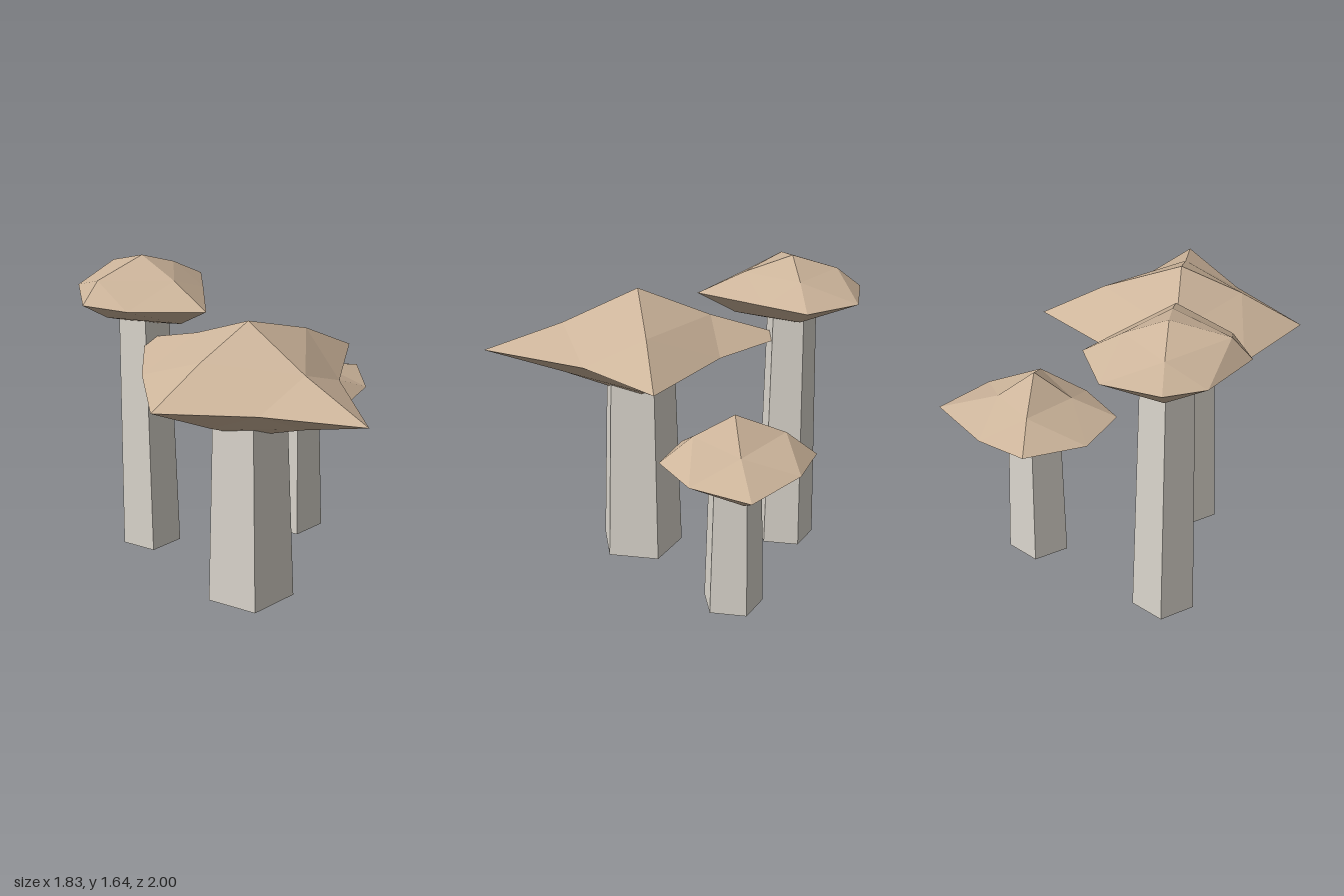
import * as THREE from 'three';

const capMaterial = new THREE.MeshStandardMaterial({ color: 0xcdb59b, flatShading: true });
const stemMaterial = new THREE.MeshStandardMaterial({ color: 0xdcd7ce, flatShading: true, side: THREE.DoubleSide });

// Rings run +x, -z, -x, +z around the cap centre.
// rim: [x, z] of eight flat rim points; upper / lower: [reach, height] along the four axes.
const mushrooms = [
  {
    name: 'largeMushroom', position: [-0.295, 0, 0.185], height: 1.195, stem: [0.19, 0.232], rise: 0.305,
    rim: [[0.715, 0], [0.275, -0.395], [0, -0.805], [-0.345, -0.405], [-0.62, 0], [-0.28, 0.375], [0, 0.81], [0.315, 0.315]],
    upper: [[0.395, 0.17], [0.385, 0.14], [0.31, 0.17], [0.395, 0.135]],
    lower: [[0.305, 0.16], [0.29, 0.135], [0.25, 0.19], [0.395, 0.145]],
  },
  {
    name: 'smallMushroom', position: [0.413, 0, -0.218], height: 0.83, stem: [0.139, 0.163], rise: 0.24,
    rim: [[0.5, 0], [0.24, -0.29], [0, -0.42], [-0.3, -0.28], [-0.42, 0], [-0.235, 0.235], [0, 0.38], [0.29, 0.27]],
    upper: [[0.19, 0.09], [0.26, 0.13], [0.19, 0.1], [0.21, 0.135]],
    lower: [[0.29, 0.115], [0.25, 0.095], [0.26, 0.1], [0.22, 0.095]],
  },
  {
    name: 'tallMushroom', position: [-0.29, 0, -0.63], height: 1.46, stem: [0.134, 0.163], rise: 0.185,
    rim: [[0.4, 0], [0.29, -0.29], [0, -0.37], [-0.2, -0.29], [-0.39, 0], [-0.29, 0.23], [0, 0.5], [0.25, 0.19]],
    upper: [[0.21, 0.105], [0.24, 0.105], [0.29, 0.11], [0.255, 0.105]],
    lower: [[0.24, 0.1], [0.22, 0.125], [0.24, 0.1], [0.3, 0.115]],
  },
];

// Faceted cap: an octahedron split once, with its points pushed in and out
function capGeometry({ rim, upper, lower, rise }) {
  const axes = [[1, 0], [0, -1], [-1, 0], [0, 1]];
  const points = [];
  const addHalf = (ring, sign) => {
    const tip = [0, sign * rise, 0];
    const mid = ring.map(([r, h], i) => [axes[i][0] * r, sign * h, axes[i][1] * r]);
    const edge = rim.map(([x, z]) => [x, 0, z]);
    const face = (a, b, c) => points.push(...a, ...(sign > 0 ? b : c), ...(sign > 0 ? c : b));
    for (let k = 0; k < 4; k++) {
      const a = mid[k], b = mid[(k + 1) % 4];
      const start = edge[2 * k], corner = edge[2 * k + 1], end = edge[(2 * k + 2) % 8];
      face(tip, a, b);
      face(a, start, corner);
      face(a, corner, b);
      face(b, corner, end);
    }
  };
  addHalf(upper, 1);
  addHalf(lower, -1);
  const geometry = new THREE.BufferGeometry();
  geometry.setAttribute('position', new THREE.Float32BufferAttribute(points, 3));
  geometry.computeVertexNormals();
  return geometry;
}

function createMushroom(spec) {
  const group = new THREE.Group();
  group.name = spec.name;
  group.position.set(...spec.position);

  // Open five-sided stem with one corner to the back
  const [top, bottom] = spec.stem;
  const stem = new THREE.Mesh(new THREE.CylinderGeometry(top, bottom, spec.height, 5, 1, true), stemMaterial);
  stem.name = 'stem';
  stem.rotation.y = Math.PI;
  stem.position.y = spec.height / 2;

  const cap = new THREE.Mesh(capGeometry(spec), capMaterial);
  cap.name = 'cap';
  cap.position.y = spec.height;

  group.add(stem, cap);
  return group;
}

export function createModel() {
  const model = new THREE.Group();
  model.name = 'mushroomCluster';
  mushrooms.forEach((spec) => model.add(createMushroom(spec)));
  return model;
}
